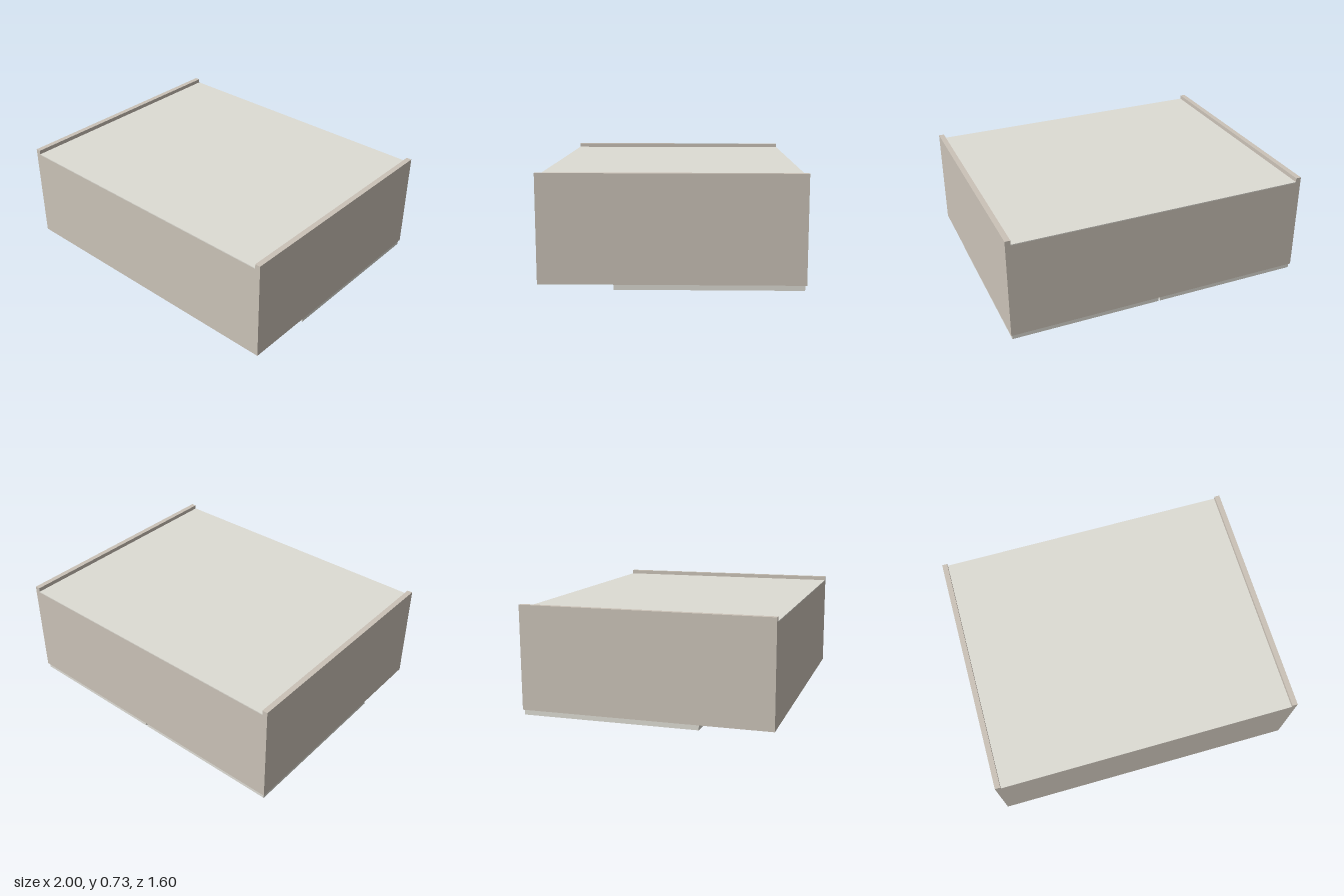
import * as THREE from 'three';

const carcassMat = new THREE.MeshStandardMaterial({ color: 0xcbc3b8 });
const panelMat = new THREE.MeshStandardMaterial({ color: 0xdedcd4 });
const handleMat = new THREE.MeshStandardMaterial({ color: 0x7c8288 });

// Box given by its lower and upper corners
function slab(name, material, [x0, y0, z0], [x1, y1, z1]) {
  const geometry = new THREE.BoxGeometry(x1 - x0, y1 - y0, z1 - z0);
  const mesh = new THREE.Mesh(geometry, material);
  mesh.name = name;
  mesh.position.set((x0 + x1) / 2, (y0 + y1) / 2, (z0 + z1) / 2);
  return mesh;
}

export function createModel() {
  const group = new THREE.Group();
  group.name = 'cabinet';

  const T = 0.035;              // board thickness
  const W = 1, D = 0.8;         // half width, half depth
  const base = 0.065, top = 0.73, backing = 0.703;
  const inner = W - T;

  // End boards between the sides, and the shelf above the open niche
  group.add(
    slab('frontBoard', carcassMat, [-inner, base, D - T], [inner, backing - 0.006, D]),
    slab('rearBoard', carcassMat, [-inner, base, -D], [inner, backing - 0.006, -D + T]),
    slab('shelf', carcassMat, [-inner, base, 0.31], [inner, backing - 0.006, 0.345]),
  );

  // Thin backing sheet, set below the tops of the sides
  group.add(slab('backingPanel', panelMat, [-inner, backing - 0.006, -D], [inner, backing, D]));

  // Mirrored sides, doors and handles
  for (const [side, s] of [['left', 1], ['right', -1]]) {
    const mirrored = (name, mat, x0, x1, y0, y1, z0, z1) => group.add(
      slab(side + name, mat, [Math.min(s * x0, s * x1), y0, z0], [Math.max(s * x0, s * x1), y1, z1]));
    mirrored('SidePanel', carcassMat, inner, W, base, top, -D, D);
    mirrored('Door', panelMat, 0.006, 0.992, 0.032, base - 0.001, -0.79, 0.345);
    mirrored('Handle', handleMat, 0.393, 0.605, 0, 0.032, 0.172, 0.197);
  }
  return group;
}
